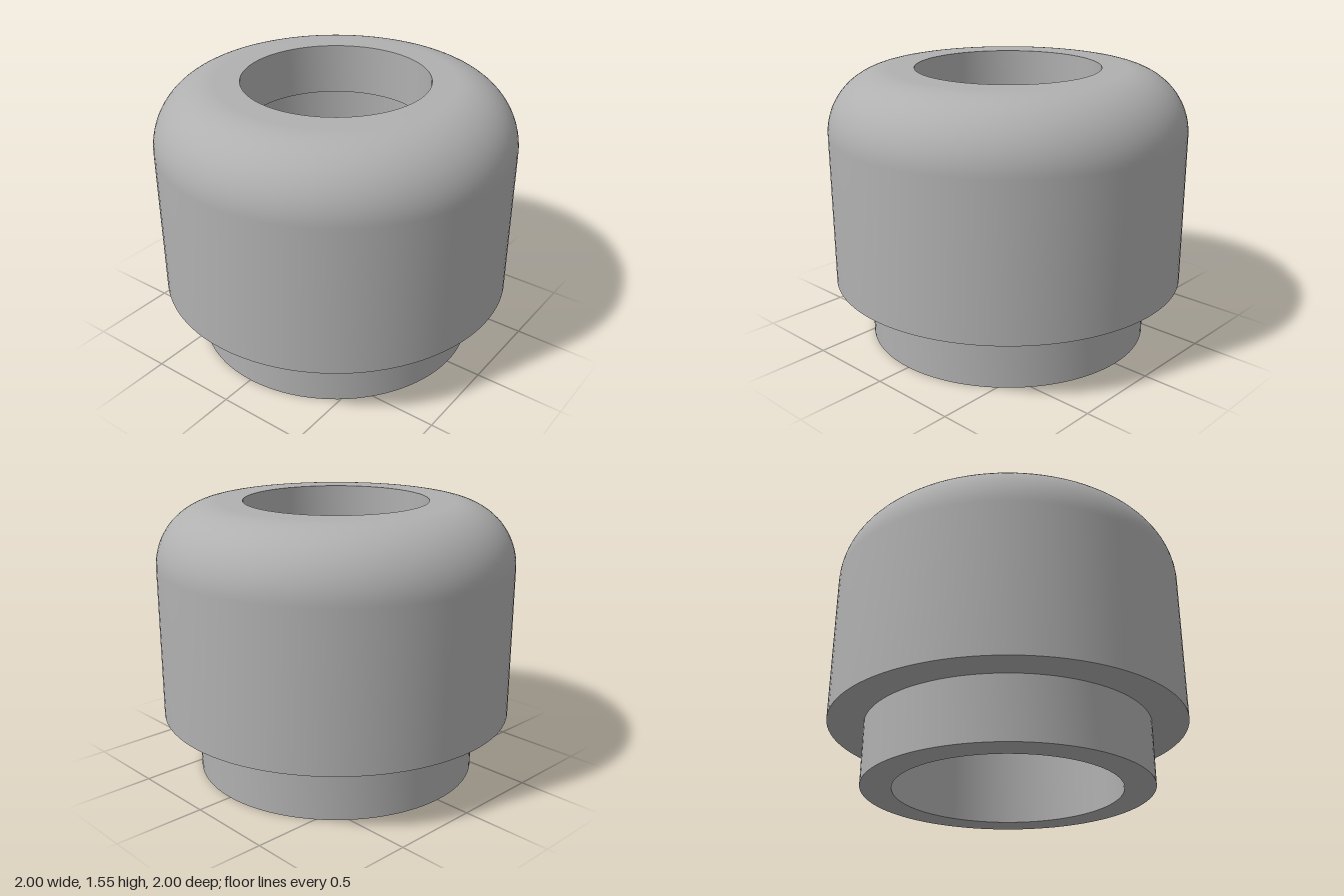
import * as THREE from 'three';
import { toCreasedNormals } from 'three/addons/utils/BufferGeometryUtils.js';

const SEGMENTS = 96;

export function createModel() {
  const group = new THREE.Group();
  group.name = 'flangedBushing';
  const grey = new THREE.MeshStandardMaterial({ color: 0xb0b0b0 });
  grey.name = 'grey';

  const outerR = 1, neckR = 0.8, boreR = 0.63, holeR = 0.516;
  const height = 1.546, stepY = 0.348, shoulderY = 1.257, fillet = 0.346;

  // Revolves a profile, keeping its corners sharp and its curves smooth
  const addTurned = (name, points) => {
    const profile = points.map(([r, y]) => new THREE.Vector2(r, y));
    const geometry = new THREE.LatheGeometry(profile, SEGMENTS);
    const mesh = new THREE.Mesh(toCreasedNormals(geometry, Math.PI / 6), grey);
    mesh.name = name;
    group.add(mesh);
  };

  // Rounded shoulder of the cap
  const rounding = [];
  for (let i = 0; i <= 20; i++) {
    const a = (i / 20) * Math.PI / 2;
    rounding.push([outerR - fillet + fillet * Math.cos(a), height - fillet + fillet * Math.sin(a)]);
  }

  // Cap: underside, outer wall, rounding, flat top, narrow hole and inner ledge
  addTurned('cap', [
    [neckR, stepY], [outerR, stepY], ...rounding,
    [holeR, height], [holeR, shoulderY], [boreR, shoulderY],
  ]);

  // Neck: wide bore, bottom rim and outer wall
  addTurned('neck', [[boreR, shoulderY], [boreR, 0], [neckR, 0], [neckR, stepY]]);

  return group;
}
